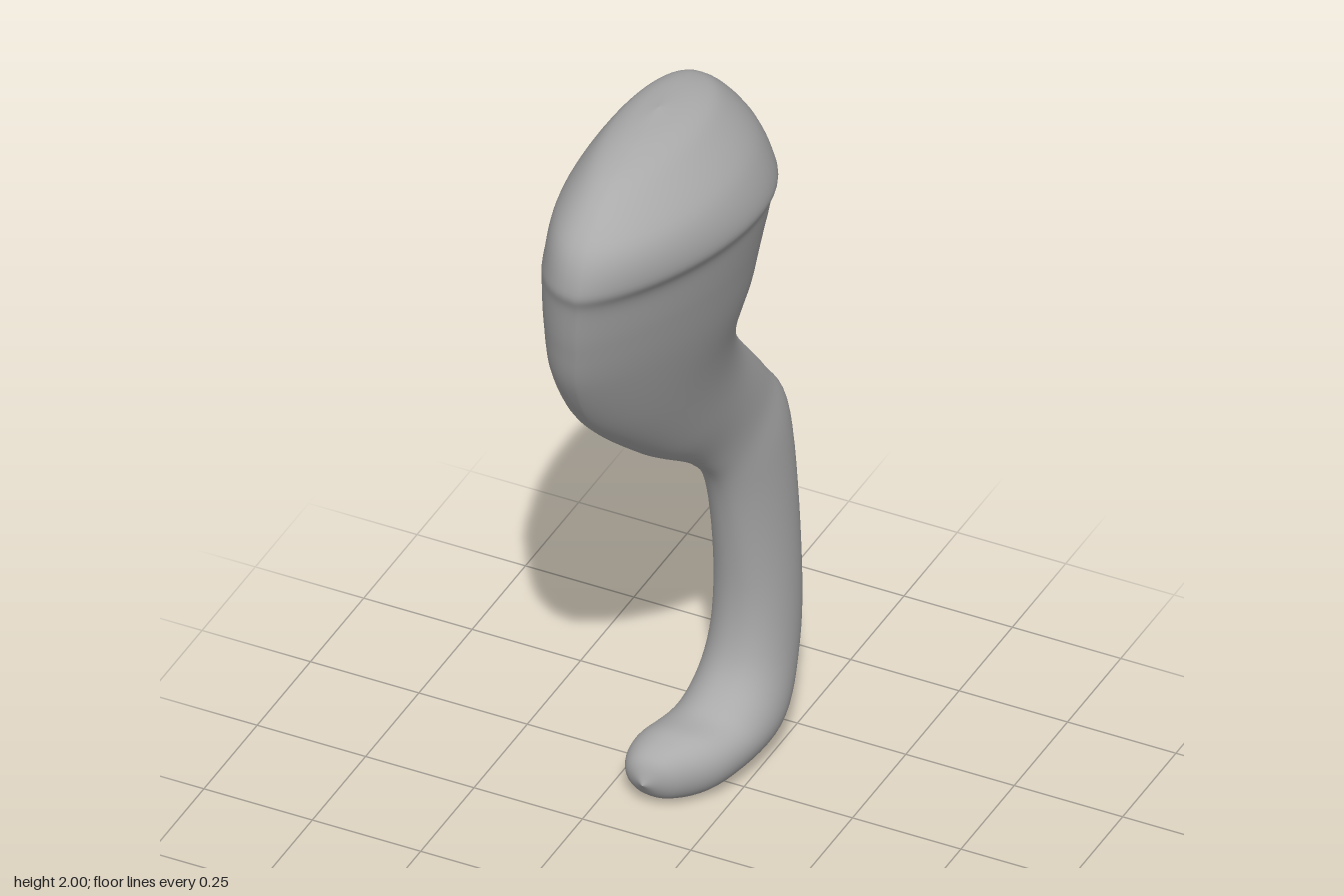
import * as THREE from 'three';

// Cross-sections from hip to toe:
// front y, front z, back y, back z, centre x, inner half-width, outer half-width
const SECTIONS = [
  [2.0, 0.15, 2.0, 0.15, 0, 0, 0],
  [1.985, 0.29, 1.987, 0.01, 0, 0.067, 0.06],
  [1.95, 0.41, 1.955, -0.055, 0, 0.115, 0.1],
  [1.87, 0.515, 1.87, -0.113, 0, 0.178, 0.148],
  [1.775, 0.545, 1.775, -0.135, 0, 0.198, 0.17],
  [1.71, 0.525, 1.71, -0.142, -0.01, 0.178, 0.176],
  [1.58, 0.49, 1.6, -0.15, -0.03, 0.167, 0.163],
  [1.43, 0.43, 1.46, -0.17, -0.055, 0.155, 0.142],
  [1.24, 0.29, 1.3, -0.2, -0.08, 0.135, 0.11],
  [1.02, 0.05, 1.13, -0.3, -0.085, 0.105, 0.083],
  [0.86, -0.16, 0.95, -0.44, -0.067, 0.068, 0.072],
  [0.72, -0.26, 0.81, -0.52, -0.06, 0.073, 0.077],
  [0.45, -0.322, 0.48, -0.54, -0.058, 0.084, 0.085],
  [0.27, -0.312, 0.22, -0.527, -0.062, 0.092, 0.092],
  [0.178, -0.24, 0.05, -0.432, -0.078, 0.111, 0.1],
  [0.163, -0.15, 0.005, -0.225, -0.112, 0.107, 0.105],
  [0.133, -0.088, 0.018, -0.12, -0.138, 0.064, 0.064],
  [0.078, -0.066, 0.078, -0.066, -0.145, 0, 0],
];

// Smooth curve through one point taken from every section
const curveOf = (pick) =>
  new THREE.CatmullRomCurve3(SECTIONS.map((s) => new THREE.Vector3(...pick(s))), false, 'catmullrom', 0.5);

// Closed smooth skin lofted through the sections
function loftLeg(rows, sides) {
  const { smoothstep } = THREE.MathUtils;
  const front = curveOf(([y, z, , , x]) => [x, y, z]);
  const back = curveOf(([, , y, z, x]) => [x, y, z]);
  const width = curveOf(([, , , , , inner, outer]) => [inner, outer, 0]);
  const positions = [];
  const index = [];
  for (let i = 0; i <= rows; i++) {
    const f = front.getPoint(i / rows);
    const b = back.getPoint(i / rows);
    const w = width.getPoint(i / rows);
    // the thigh leans inwards at the rear, and its inner face is fullest behind the middle
    const thigh = smoothstep(f.y, 0.95, 1.5);
    b.x += 0.035 * thigh * (1 - smoothstep(f.y, 1.65, 2));
    const skew = 1 + thigh * (0.55 - 0.3 * smoothstep(f.y, 1.68, 1.88));
    for (let j = 0; j < sides; j++) {
      const angle = (j / sides) * Math.PI * 2;
      const u = (1 - Math.cos(angle)) / 2;
      const inner = j < sides / 2;
      const v = inner ? Math.pow(u, skew) : u;
      const bulge = Math.pow(Math.max(4 * v * (1 - v), 0), 0.45);
      const p = f.clone().lerp(b, u);
      p.x += inner ? Math.max(w.x, 0) * bulge : -Math.max(w.y, 0) * bulge;
      positions.push(p.x, p.y, p.z);
      if (i < rows) {
        const a = i * sides + j;
        const d = i * sides + ((j + 1) % sides);
        index.push(a, a + sides, d + sides, a, d + sides, d);
      }
    }
  }
  const geometry = new THREE.BufferGeometry();
  geometry.setAttribute('position', new THREE.Float32BufferAttribute(positions, 3));
  geometry.setIndex(index);
  geometry.computeVertexNormals();
  return geometry;
}

export function createModel() {
  const group = new THREE.Group();
  group.name = 'hindLeg';
  const grey = new THREE.MeshStandardMaterial({ color: 0xaaaaaa });
  grey.name = 'plain grey';

  // Thigh, shank and foot form one continuous skin
  const leg = new THREE.Mesh(loftLeg((SECTIONS.length - 1) * 7, 56), grey);
  leg.name = 'legSkin';
  group.add(leg);
  return group;
}
